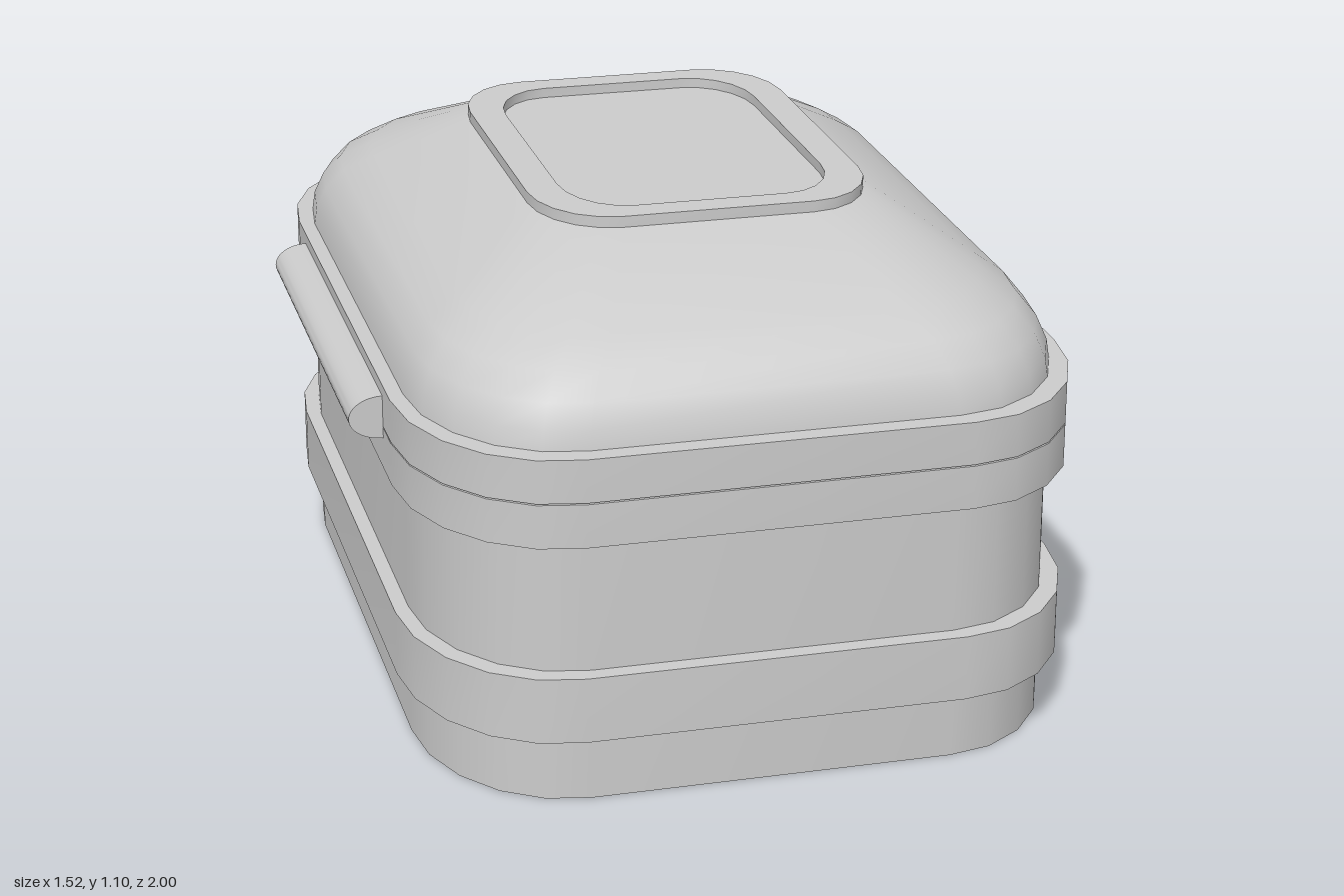
import * as THREE from 'three';
import { toCreasedNormals } from 'three/addons/utils/BufferGeometryUtils.js';

const CORNER_X = 0.44, CORNER_Z = 0.41, STEPS = 5;

// Rounded-rectangle loop whose corners scale with its half sizes
function ring(y, hx, hz) {
  const rx = hx * CORNER_X, rz = hz * CORNER_Z, pts = [];
  const signs = [[1, 1], [-1, 1], [-1, -1], [1, -1]];
  signs.forEach(([sx, sz], q) => {
    for (let i = 0; i <= STEPS; i++) {
      const a = (q + i / STEPS) * Math.PI / 2;
      pts.push([sx * (hx - rx) + rx * Math.cos(a), y, sz * (hz - rz) + rz * Math.sin(a)]);
    }
  });
  return pts;
}

// Closed solid through sections [y, halfX, halfZ], capped at both ends
function loft(sections) {
  const n = 4 * (STEPS + 1), pos = [], index = [];
  sections.forEach(s => ring(...s).forEach(p => pos.push(...p)));
  for (let k = 0; k < sections.length - 1; k++) {
    for (let i = 0; i < n; i++) {
      const a = k * n + i, b = k * n + (i + 1) % n;
      index.push(a, a + n, b, b, a + n, b + n);
    }
  }
  const last = (sections.length - 1) * n, c = pos.length / 3;
  pos.push(0, sections[0][0], 0, 0, sections[sections.length - 1][0], 0);
  for (let i = 0; i < n; i++) {
    const j = (i + 1) % n;
    index.push(c, i, j, c + 1, last + j, last + i);
  }
  const g = new THREE.BufferGeometry();
  g.setAttribute('position', new THREE.Float32BufferAttribute(pos, 3));
  g.setIndex(index);
  return toCreasedNormals(g, 0.6);
}

export function createModel() {
  const model = new THREE.Group();
  model.name = 'lunchBox';
  const material = new THREE.MeshStandardMaterial({ color: 0xcccccc });
  const add = (name, geometry, x = 0.033) => {
    const mesh = new THREE.Mesh(geometry, material);
    mesh.name = name;
    mesh.position.x = x;
    model.add(mesh);
  };
  const slab = (y0, y1, hx, hz) => loft([[y0, hx, hz], [y1, hx, hz]]);

  // Body and its raised bands; the upper pair meets at the lid seam
  add('body', slab(0, 0.77, 0.69, 0.957));
  add('lowerBand', slab(0.147, 0.29, 0.722, 0.995));
  add('bodyRim', slab(0.58, 0.674, 0.722, 1));
  add('lidRim', slab(0.677, 0.77, 0.722, 1));

  // Domed lid with sloping shoulders
  add('lid', loft([
    [0.765, 0.69, 0.957], [0.81, 0.684, 0.95], [0.86, 0.664, 0.927],
    [0.91, 0.625, 0.885], [0.953, 0.56, 0.815], [1.073, 0.366, 0.506],
  ]));

  // Raised frame on top with a recessed panel
  add('topFrame', loft([
    [1.07, 0.366, 0.506], [1.097, 0.366, 0.506],
    [1.097, 0.292, 0.44], [1.075, 0.292, 0.44],
  ]));

  // Half-round grip along the right side
  const profile = new THREE.Shape();
  profile.moveTo(-0.66, 0.745);
  profile.lineTo(-0.69, 0.745);
  profile.absellipse(-0.69, 0.698, 0.071, 0.047, Math.PI / 2, Math.PI * 1.5, false, 0);
  profile.lineTo(-0.66, 0.651);
  const grip = new THREE.ExtrudeGeometry(profile, { depth: 1, bevelEnabled: false, curveSegments: 12 });
  grip.translate(0, 0, -0.5);
  add('grip', toCreasedNormals(grip, 0.6), 0);

  return model;
}
